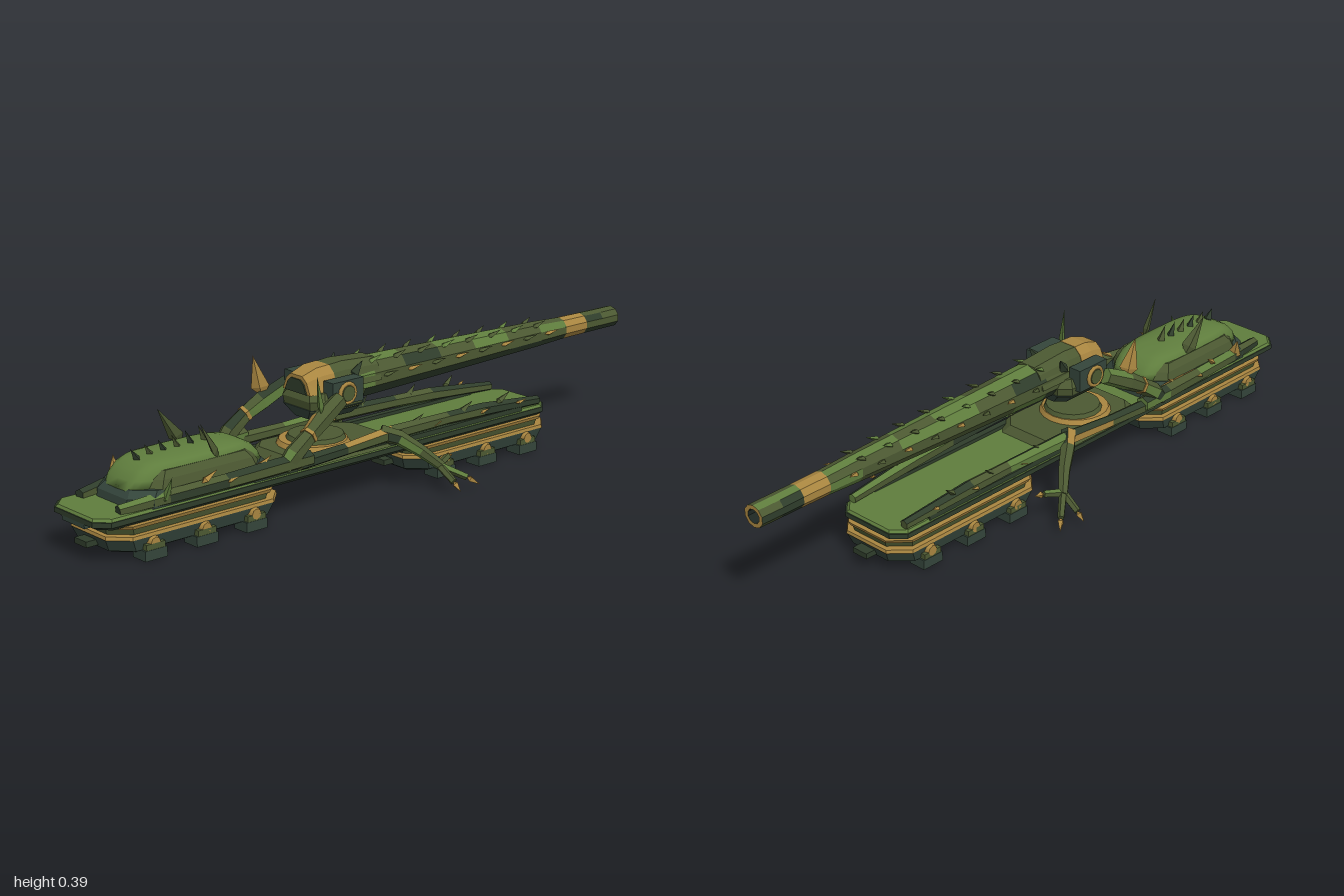
import * as THREE from 'three';
import { mergeVertices } from 'three/addons/utils/BufferGeometryUtils.js';

const V = (x, y, z) => new THREE.Vector3(x, y, z);
const mat = (name, color) => {
  const m = new THREE.MeshStandardMaterial({ color });
  m.name = name;
  return m;
};

export function createModel() {
  const root = new THREE.Group();
  const olive = mat('olive', 0x4c5932), green = mat('leafGreen', 0x5f7d3d);
  const dark = mat('darkGreen', 0x2f3d2b), slate = mat('slateGreen', 0x34453b);
  const gold = mat('ochre', 0xa98640), black = mat('nearBlack', 0x1d2722);
  const camo = [olive, dark, green, gold];

  let seed = 7;
  const rnd = () => (seed = (seed * 16807) % 2147483647) / 2147483647;
  const pickCamo = () => { const r = rnd(); return r < 0.58 ? 0 : r < 0.82 ? 1 : r < 0.98 ? 2 : 3; };

  const add = (name, geo, material, pos = [0, 0, 0]) => {
    const m = new THREE.Mesh(geo, material);
    m.name = name;
    m.position.set(...pos);
    root.add(m);
    return m;
  };
  const box = (name, w, h, d, m, pos) => add(name, new THREE.BoxGeometry(w, h, d), m, pos);

  // Skin a row of rings; pick(row, side) gives a material index for each face
  function loft(name, rings, material, { smooth = false, pick = () => 0 } = {}) {
    const pos = [], groups = [], n = rings[0].length;
    const tri = (...p) => p.forEach(q => pos.push(q.x, q.y, q.z));
    const mark = (start, index) => groups.push([start, pos.length / 3 - start, index]);
    const cap = (r, flip, j) => {
      const s = pos.length / 3;
      for (let i = 1; i < n - 1; i++) flip ? tri(r[0], r[i + 1], r[i]) : tri(r[0], r[i], r[i + 1]);
      mark(s, pick(j, 0));
    };
    cap(rings[0], true, 0);
    for (let j = 0; j < rings.length - 1; j++) for (let i = 0; i < n; i++) {
      const k = (i + 1) % n, s = pos.length / 3;
      tri(rings[j][i], rings[j][k], rings[j + 1][k]);
      tri(rings[j][i], rings[j + 1][k], rings[j + 1][i]);
      mark(s, pick(j, i));
    }
    cap(rings.at(-1), false, rings.length - 2);
    let g = new THREE.BufferGeometry();
    g.setAttribute('position', new THREE.Float32BufferAttribute(pos, 3));
    if (Array.isArray(material)) groups.forEach(q => g.addGroup(...q));
    if (smooth) g = mergeVertices(g);
    g.computeVertexNormals();
    return add(name, g, material);
  }

  // Stacked plan outlines with cut corners: levels are [y, halfWidth, halfLength, cornerCut]
  const stack = (name, zc, levels, m) => loft(name, levels.map(([y, w, l, c]) =>
    [[l, -w + c], [l, w - c], [l - c, w], [-l + c, w], [-l, w - c], [-l, -w + c], [-l + c, -w], [l - c, -w]]
      .map(([z, x]) => V(x, y, zc + z))), m);

  // Faceted limb through points [x, y, z, radius]
  function limb(name, pts, sides = 6, material = camo, pick = pickCamo) {
    const c = pts.map(p => V(p[0], p[1], p[2]));
    const rings = c.map((p, i) => {
      const t = c[Math.min(i + 1, c.length - 1)].clone().sub(c[Math.max(i - 1, 0)]).normalize();
      const u = V(0, 1, 0).cross(t).normalize(), v = t.clone().cross(u);
      return Array.from({ length: sides }, (_, k) => {
        const a = (k + 0.5) / sides * Math.PI * 2;
        return p.clone().addScaledVector(u, Math.cos(a) * pts[i][3]).addScaledVector(v, Math.sin(a) * pts[i][3]);
      });
    });
    return loft(name, rings, material, { pick });
  }

  // Leaf-shaped spike from base to tip, turned about its own axis by twist
  const leafGeo = new THREE.LatheGeometry([[0.001, 0], [1, 0.25], [0.001, 1]].map(p => new THREE.Vector2(...p)), 4).toNonIndexed();
  leafGeo.computeVertexNormals();
  function spike(name, base, tip, w, d, m, twist = 0) {
    const b = V(...base), dir = V(...tip).sub(b), mesh = add(name, leafGeo, m, base);
    mesh.scale.set(w, dir.length(), d);
    mesh.quaternion.setFromUnitVectors(V(0, 1, 0), dir.normalize());
    mesh.rotateY(twist);
  }

  // Track units under both ends
  for (const zc of [0.675, -0.345]) {
    stack('trackBody', zc, [[0.01, 0.08, 0.23, 0.04], [0.028, 0.118, 0.265, 0.05], [0.062, 0.126, 0.28, 0.05]], slate);
    stack('lowerTrim', zc, [[0.062, 0.127, 0.281, 0.05], [0.071, 0.125, 0.279, 0.05]], gold);
    stack('trackWaist', zc, [[0.071, 0.11, 0.265, 0.05], [0.088, 0.114, 0.27, 0.05]], olive);
    stack('upperTrim', zc, [[0.088, 0.118, 0.273, 0.05], [0.098, 0.122, 0.277, 0.05]], gold);
    box('coupler', 0.052, 0.016, 0.61, dark, [0, 0.042, zc]);
    for (const s of [-1, 1]) for (const dz of [-0.165, 0, 0.165]) {
      box('trackPad', 0.054, 0.028, 0.07, slate, [s * 0.109, 0.014, zc + dz]);
      box('axleArm', 0.02, 0.02, 0.06, olive, [s * 0.125, 0.034, zc + dz]);
      const hub = add('wheelHub', new THREE.CylinderGeometry(0.015, 0.02, 0.014, 8), gold, [s * 0.128, 0.045, zc + dz]);
      hub.rotation.z = -s * Math.PI / 2;
    }
  }

  // Long chassis deck
  stack('chassis', 0.19, [[0.096, 0.105, 0.79, 0.03], [0.108, 0.12, 0.81, 0.035], [0.122, 0.12, 0.81, 0.035]], dark);
  stack('deckPlate', 0.19, [[0.122, 0.117, 0.807, 0.035], [0.129, 0.112, 0.802, 0.035]], green);
  box('frontLatch', 0.1, 0.024, 0.02, slate, [0, 0.108, 0.99]);
  stack('middleDeck', 0.17, [[0.127, 0.122, 0.19, 0.04], [0.15, 0.105, 0.17, 0.04]], olive);
  add('turretRing', new THREE.CylinderGeometry(0.096, 0.104, 0.014, 20), gold, [0, 0.156, 0.2]);
  add('turretBase', new THREE.CylinderGeometry(0.078, 0.086, 0.016, 16), olive, [0, 0.167, 0.19]);

  // Front hull: dark skirt, olive shoulders and a rounded green back
  stack('hullSkirt', 0.645, [[0.127, 0.116, 0.235, 0.05], [0.15, 0.116, 0.232, 0.05], [0.17, 0.105, 0.215, 0.05]], slate);
  stack('hullShoulder', 0.64, [[0.165, 0.107, 0.205, 0.05], [0.192, 0.1, 0.195, 0.05], [0.212, 0.088, 0.18, 0.05]], olive);
  loft('hullDome', [[0.165, 0.092, 0.222], [0.19, 0.09, 0.212], [0.212, 0.087, 0.19], [0.225, 0.077, 0.165],
    [0.233, 0.055, 0.13], [0.236, 0.02, 0.06]].map(([y, w, l]) => Array.from({ length: 28 }, (_, k) => {
    const a = k / 28 * Math.PI * 2, p = q => Math.sign(q) * Math.sqrt(Math.abs(q));
    return V(p(Math.sin(a)) * w, y, 0.645 + p(Math.cos(a)) * l);
  })), green, { smooth: true });
  for (let i = 0; i < 6; i++) {
    const z = 0.79 - i * 0.044;
    spike('backSpine', [0, 0.218, z], [0, 0.258 + i * 0.004, z + 0.026], 0.014, 0.01, i % 2 ? olive : dark);
  }

  // Gun barrel with an open bore
  const barrel = [[-0.9, 0.022, 0.02], [-1, 0.022, 0.02], [-1, 0.035, 0.032], [-0.93, 0.036, 0.032], [-0.86, 0.035, 0.033],
    [-0.77, 0.036, 0.034], [-0.66, 0.038, 0.04], [-0.52, 0.043, 0.044], [-0.38, 0.048, 0.048], [-0.24, 0.052, 0.052],
    [-0.1, 0.056, 0.056], [0.02, 0.06, 0.059], [0.12, 0.061, 0.061]];
  const paintBarrel = (j, i) => {
    if (j < 2) return j ? 3 : 4;
    if (j === 4) return rnd() < 0.9 ? 3 : 0;
    if (i === 1 || i === 2) return rnd() < 0.65 ? 2 : 0;
    return i > 5 && i < 9 ? 1 : pickCamo();
  };
  loft('barrel', barrel.map(([z, rx, ry]) => Array.from({ length: 10 }, (_, k) => {
    const a = (k + 0.5) / 10 * Math.PI * 2;
    return V(Math.cos(a) * rx, 0.306 + Math.sin(a) * ry, z);
  })), [...camo, black], { pick: paintBarrel });

  // Breech and sloping crown
  stack('breech', 0.16, [[0.255, 0.084, 0.095, 0.03], [0.285, 0.088, 0.1, 0.03], [0.307, 0.075, 0.09, 0.03]], olive);
  stack('breechBelly', 0.16, [[0.228, 0.052, 0.08, 0.025], [0.262, 0.088, 0.099, 0.03]], slate);
  const arch = (w, y0, y1, z) => [[-w, y0], [w, y0], [w * 0.74, y0 + (y1 - y0) * 0.7], [w * 0.42, y1],
    [-w * 0.42, y1], [-w * 0.74, y0 + (y1 - y0) * 0.7]].map(([x, y]) => V(x, y, z));
  loft('breechCrown', [arch(0.066, 0.303, 0.37, 0.165), arch(0.066, 0.303, 0.368, 0.21), arch(0.058, 0.303, 0.352, 0.258)], gold);
  loft('crownFace', [arch(0.045, 0.304, 0.342, 0.25), arch(0.045, 0.304, 0.342, 0.262)], dark);
  loft('breechRoof', [arch(0.062, 0.303, 0.364, 0.0), arch(0.064, 0.303, 0.372, 0.12), arch(0.064, 0.303, 0.369, 0.166)], olive);

  for (const s of [-1, 1]) {
    const P = pts => pts.map(([x, ...r]) => [s * x, ...r]);

    // Trunnion with its ring
    box('trunnionPod', 0.04, 0.066, 0.11, slate, [s * 0.083, 0.307, 0.16]);
    const drum = add('trunnionDrum', new THREE.CylinderGeometry(0.022, 0.026, 0.014, 10), olive, [s * 0.105, 0.305, 0.165]);
    drum.rotation.z = -s * Math.PI / 2;
    const ring = add('trunnionRing', new THREE.TorusGeometry(0.027, 0.006, 6, 14), gold, [s * 0.106, 0.305, 0.165]);
    ring.rotation.y = Math.PI / 2;
    spike('breechHorn', [s * 0.048, 0.325, 0.1], [s * 0.06, 0.372, 0.07], 0.018, 0.016, dark);

    // Limbs lying along the deck and rising to the gun
    box('deckEdgeBeam', 0.02, 0.014, 1.0, dark, [s * 0.106, 0.132, 0.0]);
    limb('frontLimb', P([[0.085, 0.135, 0.92, 0.016], [0.106, 0.146, 0.78, 0.021], [0.12, 0.152, 0.6, 0.022],
      [0.136, 0.162, 0.44, 0.024], [0.142, 0.165, 0.33, 0.022]]));
    limb('supportLimb', P([[0.138, 0.152, 0.42, 0.02], [0.138, 0.185, 0.385, 0.027], [0.136, 0.225, 0.33, 0.023],
      [0.126, 0.255, 0.28, 0.028], [0.112, 0.295, 0.2, 0.024]]));
    limb('supportBand', P([[0.137, 0.223, 0.334, 0.026], [0.1355, 0.228, 0.325, 0.026]]), 6, gold, undefined);
    root.children.at(-1).geometry.clearGroups();
    limb('rearLimb', P([[0.14, 0.155, 0.37, 0.02], [0.132, 0.158, 0.2, 0.018], [0.12, 0.165, 0.02, 0.022],
      [0.112, 0.162, -0.2, 0.019], [0.108, 0.158, -0.34, 0.021], [0.1, 0.14, -0.58, 0.014]]));

    // Large leaf horns
    const horn = s > 0 ? green : gold;
    spike('supportHorn', [s * 0.126, 0.265, 0.275], [s * 0.136, 0.386, 0.3], 0.026, 0.009, horn, -s * Math.PI / 4);
    spike('hullHorn', [s * 0.08, 0.205, 0.59], [s * 0.093, 0.315, 0.66], 0.022, 0.01, olive, -s * Math.PI / 4);
    spike('hullHorn', [s * 0.105, 0.13, 0.79], [s * 0.13, 0.205, 0.78], 0.022, 0.012, horn, -s * Math.PI / 4);

    // Splayed arm with three clawed fingers
    limb('clawArm', P([[0.11, 0.17, 0.05, 0.024], [0.145, 0.155, 0.01, 0.022], [0.178, 0.115, -0.04, 0.018],
      [0.215, 0.07, -0.085, 0.014]]));
    for (const [x, y, z] of [[0.282, 0.014, -0.17], [0.294, 0.014, -0.085], [0.178, 0.08, -0.16]]) {
      const at = (a, b) => a + (b - a) * 0.68;
      const mid = [at(0.211, x), at(0.072, y) + 0.004, at(-0.08, z)];
      limb('finger', P([[0.211, 0.072, -0.08, 0.012], [...mid, 0.01]]), 5, [olive, olive, green, green]);
      spike('claw', [s * mid[0], mid[1], mid[2]], [s * x, y, z], 0.01, 0.01, gold);
    }

    // Thorns along the barrel and the deck limbs
    for (let i = 0; i < 8; i++) {
      const z = 0.03 - i * 0.095, r = 0.058 - i * 0.0028;
      spike('barrelThorn', [s * r * 0.55, 0.303 + r * 0.8, z], [s * (r * 0.7 + 0.004), 0.313 + r, z - 0.045], 0.011, 0.007, i % 3 ? olive : green);
      spike('sideThorn', [s * r * 0.9, 0.31, z - 0.04], [s * (r + 0.012), 0.322, z - 0.085], 0.009, 0.007, i % 2 ? gold : olive);
    }
    for (const z of [0.68, 0.5, -0.06, -0.25, -0.4]) {
      const x = z > 0 ? 0.122 : 0.11;
      spike('deckThorn', [s * x, 0.165, z], [s * (x + 0.01), 0.197, z - 0.045], 0.013, 0.008, z > 0 ? gold : olive);
      spike('railThorn', [s * (x + 0.012), 0.155, z - 0.07], [s * (x + 0.022), 0.166, z - 0.105], 0.008, 0.006, gold);
    }
  }
  return root;
}
